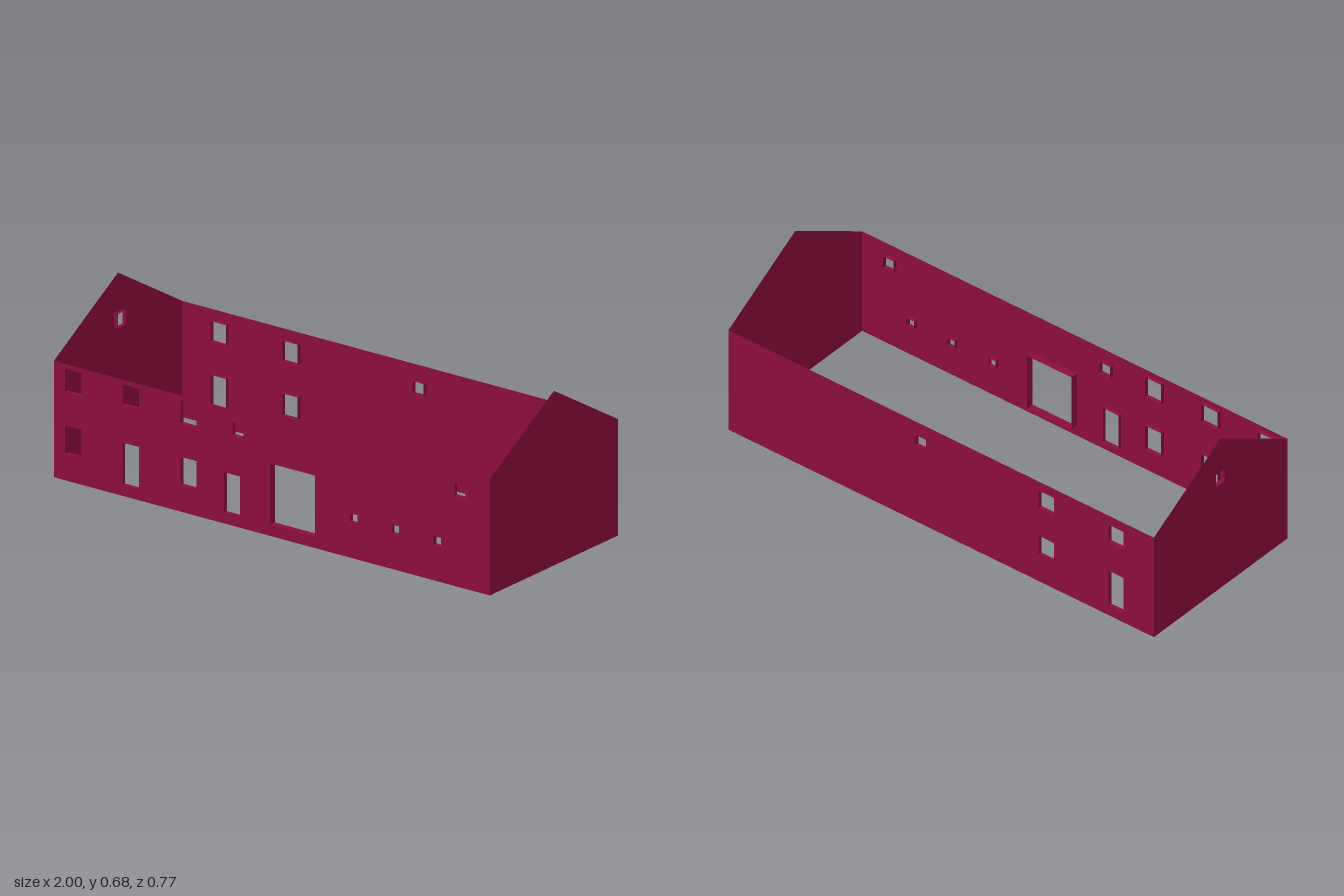
import * as THREE from 'three';

const HALF_LENGTH = 1, HALF_WIDTH = 0.387, EAVE = 0.454, RIDGE = 0.682;
const REVEAL = 0.017, DOOR_REVEAL = 0.031;

const wallRed = new THREE.MeshStandardMaterial({ color: 0x8a0d3b, side: THREE.DoubleSide });
wallRed.name = 'wallRed';

// Four-sided open tube lining an opening, running inwards from the wall sheet
function makeReveal([x0, x1, y0, y1, depth = REVEAL]) {
  const tube = new THREE.CylinderGeometry(Math.SQRT1_2, Math.SQRT1_2, 1, 4, 1, true)
    .rotateY(Math.PI / 4)
    .rotateX(Math.PI / 2)
    .scale(x1 - x0, y1 - y0, depth)
    .translate((x0 + x1) / 2, (y0 + y1) / 2, -depth / 2)
    .toNonIndexed();
  tube.computeVertexNormals();
  const mesh = new THREE.Mesh(tube, wallRed);
  mesh.name = 'openingReveal';
  return mesh;
}

// Thin wall sheet facing local +z; openings are [x0, x1, y0, y1, depth]
function makeWall(name, outline, openings = []) {
  const wall = new THREE.Group();
  wall.name = name;
  const shape = new THREE.Shape(outline.map(([x, y]) => new THREE.Vector2(x, y)));
  for (const [x0, x1, y0, y1] of openings) {
    shape.holes.push(new THREE.Path([[x0, y0], [x0, y1], [x1, y1], [x1, y0]]
      .map(([x, y]) => new THREE.Vector2(x, y))));
  }
  const sheet = new THREE.Mesh(new THREE.ShapeGeometry(shape), wallRed);
  sheet.name = name + 'Sheet';
  wall.add(sheet, ...openings.map(makeReveal));
  return wall;
}

export function createModel() {
  const model = new THREE.Group();
  model.name = 'houseWalls';

  const longOutline = [[-HALF_LENGTH, 0], [HALF_LENGTH, 0], [HALF_LENGTH, EAVE], [-HALF_LENGTH, EAVE]];
  const gableOutline = [[-HALF_WIDTH, 0], [HALF_WIDTH, 0], [HALF_WIDTH, EAVE], [0, RIDGE], [-HALF_WIDTH, EAVE]];

  // Front wall: two rows of windows, doors, the large gate and small vents
  const front = makeWall('frontWall', longOutline, [
    [-0.948, -0.873, 0.345, 0.435],
    [-0.685, -0.608, 0.355, 0.435],
    [-0.418, -0.344, 0.345, 0.435],
    [-0.18, -0.13, 0.353, 0.403],
    [0.838, 0.888, 0.353, 0.403],
    [-0.948, -0.873, 0.104, 0.214],
    [-0.685, -0.608, 0.043, 0.208],
    [-0.418, -0.344, 0.104, 0.214],
    [-0.218, -0.145, 0.043, 0.2],
    [-0.009, 0.199, 0.043, 0.283, DOOR_REVEAL],
    ...[0.376, 0.568, 0.759].map((x) => [x - 0.017, x + 0.017, 0.139, 0.173]),
  ]);
  front.position.z = HALF_WIDTH;

  // Back wall, written in its own mirrored x
  const back = makeWall('backWall', longOutline, [
    [0.787, 0.857, 0.333, 0.413],
    [0.787, 0.857, 0.043, 0.203],
    [0.458, 0.53, 0.333, 0.413],
    [0.458, 0.53, 0.12, 0.207],
    [-0.12, -0.07, 0.345, 0.393],
  ]);
  back.rotation.y = Math.PI;
  back.position.z = -HALF_WIDTH;

  // Gable ends, one with a small attic window
  const rightGable = makeWall('rightGable', gableOutline, [[-0.026, 0.023, 0.475, 0.53]]);
  rightGable.rotation.y = -Math.PI / 2;
  rightGable.position.x = -HALF_LENGTH;

  const leftGable = makeWall('leftGable', gableOutline);
  leftGable.rotation.y = Math.PI / 2;
  leftGable.position.x = HALF_LENGTH;

  model.add(front, back, rightGable, leftGable);
  return model;
}
